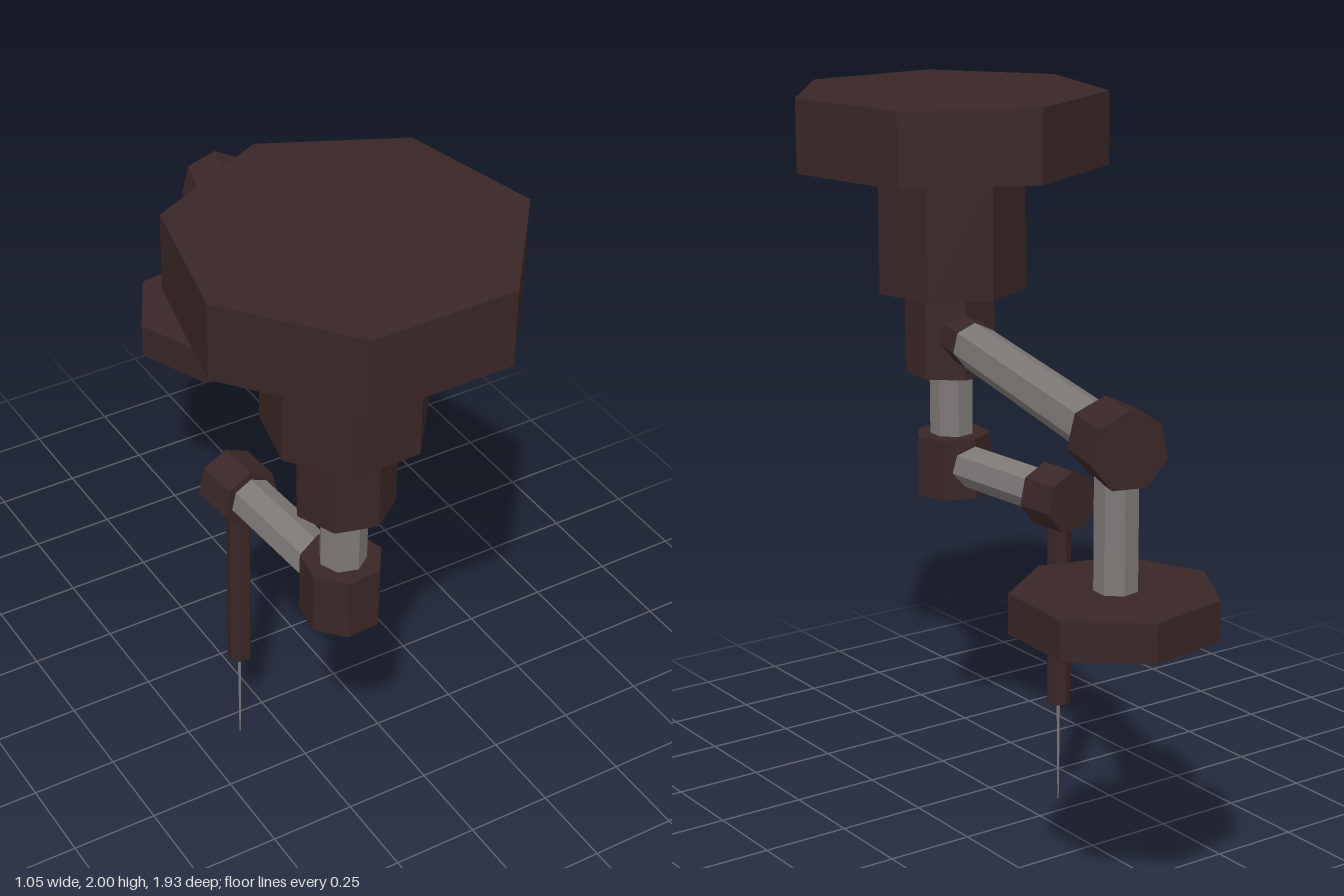
import * as THREE from 'three';

const SIDES = 7;

function material(name, color) {
  const m = new THREE.MeshStandardMaterial({ color });
  m.name = name;
  return m;
}

// Split faces so every side of a prism reads flat
function faceted(geometry) {
  const g = geometry.toNonIndexed();
  g.computeVertexNormals();
  return g;
}

function addMesh(parent, name, geometry, mat) {
  const mesh = new THREE.Mesh(geometry, mat);
  mesh.name = name;
  parent.add(mesh);
  return mesh;
}

// Upright seven-sided prism between two heights, one corner pointing to -z
function upright(parent, name, mat, r, y0, y1, z = 0, rBottom = r) {
  const g = new THREE.CylinderGeometry(r, rBottom, y1 - y0, SIDES).rotateY(Math.PI);
  return addMesh(parent, name, faceted(g.translate(0, (y0 + y1) / 2, z)), mat);
}

// Level seven-sided prism reaching backwards along -z, one corner up
function level(parent, name, mat, r, y, from, to) {
  const g = new THREE.CylinderGeometry(r, r, to - from, SIDES).rotateX(-Math.PI / 2);
  return addMesh(parent, name, faceted(g.translate(0, y, -(from + to) / 2)), mat);
}

export function createModel() {
  const dark = material('dark brown metal', 0x3a2626);
  const grey = material('grey metal', 0x7d7876);
  const yellow = material('yellow lamp glass', 0xc9b545);

  const model = new THREE.Group();
  model.name = 'ceilingMountedArms';

  const section = (name, yaw) => {
    const g = new THREE.Group();
    g.name = name;
    g.position.set(-0.083, 0, 0.555);
    g.rotation.y = THREE.MathUtils.degToRad(yaw);
    model.add(g);
    return g;
  };

  // Ceiling mount
  const mount = section('ceilingMount', 0);
  upright(mount, 'ceilingPlate', dark, 0.454, 1.79, 2);
  upright(mount, 'mountColumn', dark, 0.217, 1.43, 1.79);

  // Lamp arm
  const lampArm = section('lampArm', -15.9);
  const lampZ = 1.311;
  upright(lampArm, 'upperSwivel', dark, 0.133, 1.185, 1.43);
  upright(lampArm, 'swivelPole', grey, 0.064, 0.99, 1.185);
  level(lampArm, 'armCollar', dark, 0.069, 1.306, 0.08, 0.22);
  level(lampArm, 'upperBeam', grey, 0.067, 1.306, 0.2, lampZ - 0.07);
  level(lampArm, 'lampElbow', dark, 0.103, 1.304, lampZ - 0.08, lampZ + 0.083);
  upright(lampArm, 'lampStem', grey, 0.057, 0.925, 1.225, -lampZ);

  // Lamp head, hollowed out below
  const profile = [[0, 0.915], [0.175, 0.915], [0.185, 0.825], [0.269, 0.825], [0.269, 0.93], [0, 0.93]]
    .map(([x, y]) => new THREE.Vector2(x, y));
  const shade = new THREE.LatheGeometry(profile, SIDES).rotateY(Math.PI).translate(0, 0, -lampZ);
  addMesh(lampArm, 'lampShade', faceted(shade), dark);
  const bulb = new THREE.SphereGeometry(0.15, 24, 10, 0, Math.PI * 2, Math.PI / 2, Math.PI / 2);
  addMesh(lampArm, 'lampBulb', bulb.translate(0, 0.93, -lampZ), yellow);

  // Needle arm
  const needleArm = section('needleArm', 3.8);
  const needleZ = 0.486;
  upright(needleArm, 'lowerSwivel', dark, 0.11, 0.82, 1);
  level(needleArm, 'lowerBeam', grey, 0.063, 0.915, 0.07, needleZ - 0.05);
  level(needleArm, 'needleElbow', dark, 0.09, 0.911, needleZ - 0.062, needleZ + 0.062);
  upright(needleArm, 'needleHolder', dark, 0.035, 0.3, 0.86, -needleZ);
  upright(needleArm, 'needle', grey, 0.005, 0, 0.3, -needleZ, 0.002);

  return model;
}
